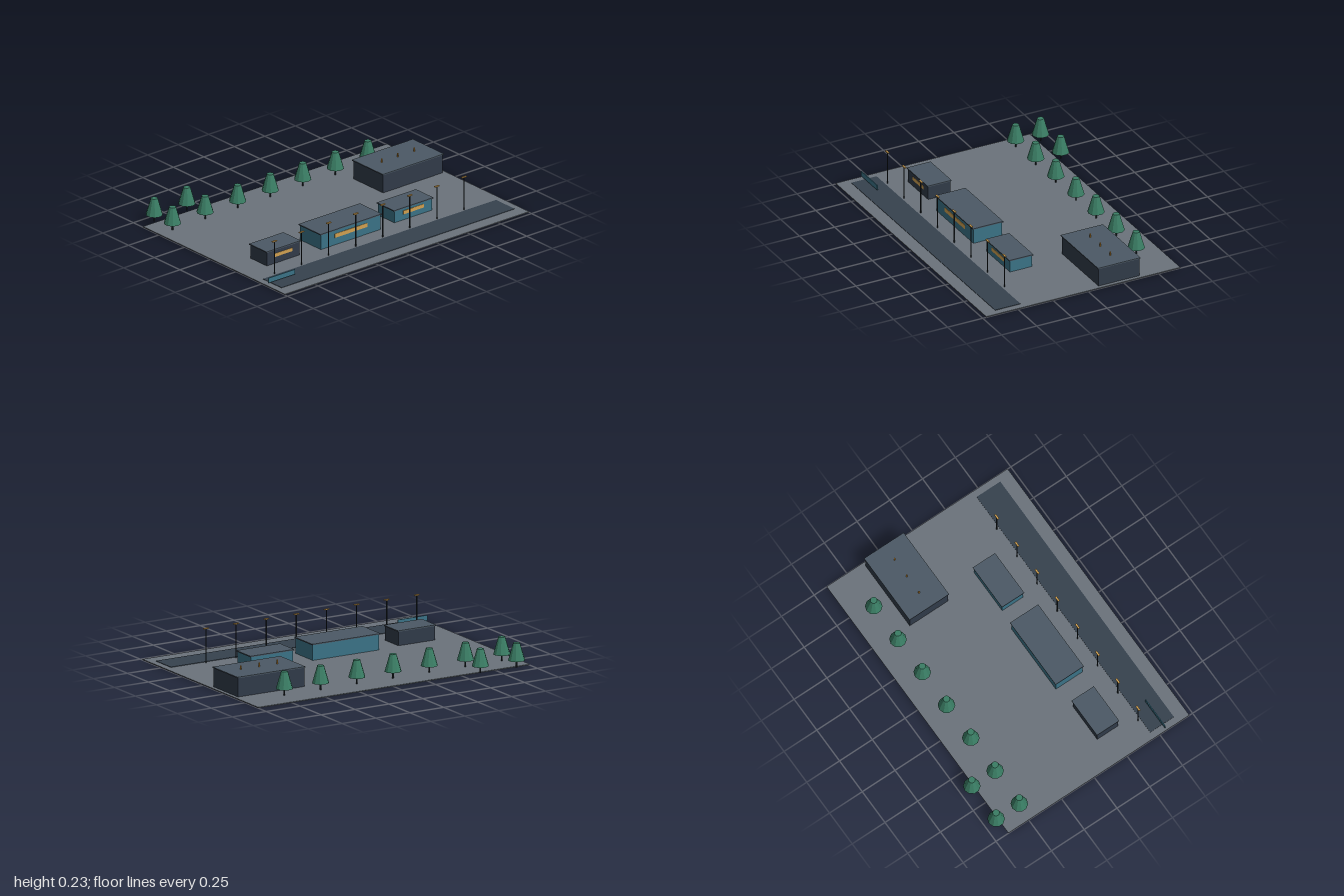
import * as THREE from 'three';

const mat = (color) => new THREE.MeshStandardMaterial({ color, flatShading: true });
const M = {
  ground: mat(0x6b737b), road: mat(0x36424e), roof: mat(0x4c5965),
  dark: mat(0x303a48), teal: mat(0x3a7286), window: mat(0xd0a050),
  pole: mat(0x20272c), leaf: mat(0x3a7d64), vent: mat(0xc88a30),
};

const GROUND = 0.006; // top of the ground slab

function add(parent, name, geometry, material, x, y, z) {
  const mesh = new THREE.Mesh(geometry, material);
  mesh.name = name;
  mesh.position.set(x, y, z);
  parent.add(mesh);
  return mesh;
}

// Box given by its extents on each axis
function box(parent, name, material, [x0, x1], [y0, y1], [z0, z1]) {
  return add(parent, name, new THREE.BoxGeometry(x1 - x0, y1 - y0, z1 - z0), material,
    (x0 + x1) / 2, (y0 + y1) / 2, (z0 + z1) / 2);
}

// Block with a slightly overhanging flat roof and an optional lit window strip
function building(name, wall, [x0, x1], [z0, z1], top, win) {
  const g = new THREE.Group();
  g.name = name;
  const o = 0.006, t = 0.007;
  box(g, 'walls', wall, [x0 + o, x1 - o], [GROUND, top - t], [z0 + o, z1 - o]);
  box(g, 'roof', M.roof, [x0, x1], [top - t, top], [z0, z1]);
  if (win) box(g, 'windowStrip', M.window, win.x, win.y, [z1 - o - 0.002, z1 - o + 0.003]);
  return g;
}

function tree(x, z) {
  const g = new THREE.Group();
  g.name = 'tree';
  add(g, 'trunk', new THREE.CylinderGeometry(0.005, 0.005, 0.05, 6), M.pole, 0, GROUND + 0.024, 0);
  add(g, 'foliage', new THREE.CylinderGeometry(0.022, 0.055, 0.112, 10), M.leaf, 0, 0.108, 0);
  g.position.set(x, 0, z);
  return g;
}

function lamp(x, z) {
  const g = new THREE.Group();
  g.name = 'streetLamp';
  add(g, 'pole', new THREE.CylinderGeometry(0.004, 0.004, 0.22, 6), M.pole, 0, GROUND + 0.11, 0);
  add(g, 'lampHead', new THREE.BoxGeometry(0.036, 0.006, 0.012), M.window, 0, 0.229, 0);
  g.position.set(x, 0, z);
  return g;
}

export function createModel() {
  const model = new THREE.Group();
  model.name = 'roadsideSite';

  // Site and road
  box(model, 'ground', M.ground, [-1, 1], [0, GROUND], [-0.655, 0.725]);
  box(model, 'road', M.road, [-0.955, 0.955], [GROUND - 0.002, GROUND + 0.003], [0.458, 0.638]);

  // Three front buildings
  model.add(
    building('leftBlock', M.dark, [-0.81, -0.53], [0.152, 0.322], 0.105,
      { x: [-0.74, -0.595], y: [0.05, 0.073] }),
    building('mainBlock', M.teal, [-0.387, 0.115], [0.13, 0.345], 0.113,
      { x: [-0.268, 0], y: [0.055, 0.082] }),
    building('rightBlock', M.teal, [0.235, 0.557], [0.152, 0.322], 0.092,
      { x: [0.313, 0.482], y: [0.044, 0.068] }),
  );

  // Rear hall with three roof vents
  const hall = building('rearHall', M.dark, [0.482, 0.982], [-0.382, -0.08], 0.136);
  for (let i = 0; i < 3; i++) {
    add(hall, 'roofVent', new THREE.CylinderGeometry(0.005, 0.005, 0.026, 8), M.vent,
      0.597 + i * 0.134, 0.148, -0.23);
  }
  model.add(hall);

  // Sign panel over the road
  box(model, 'signPanel', M.teal, [-0.99, -0.772], [0.02, 0.053], [0.546, 0.552]);

  // Lamps along the road
  for (let i = 0; i < 8; i++) model.add(lamp(-0.846 + i * 0.222, 0.44));

  // Tree rows at the back
  for (let i = 0; i < 9; i++) {
    model.add(tree(-0.892 + (i % 7) * 0.267, i < 7 ? -0.497 : -0.674));
  }
  return model;
}
